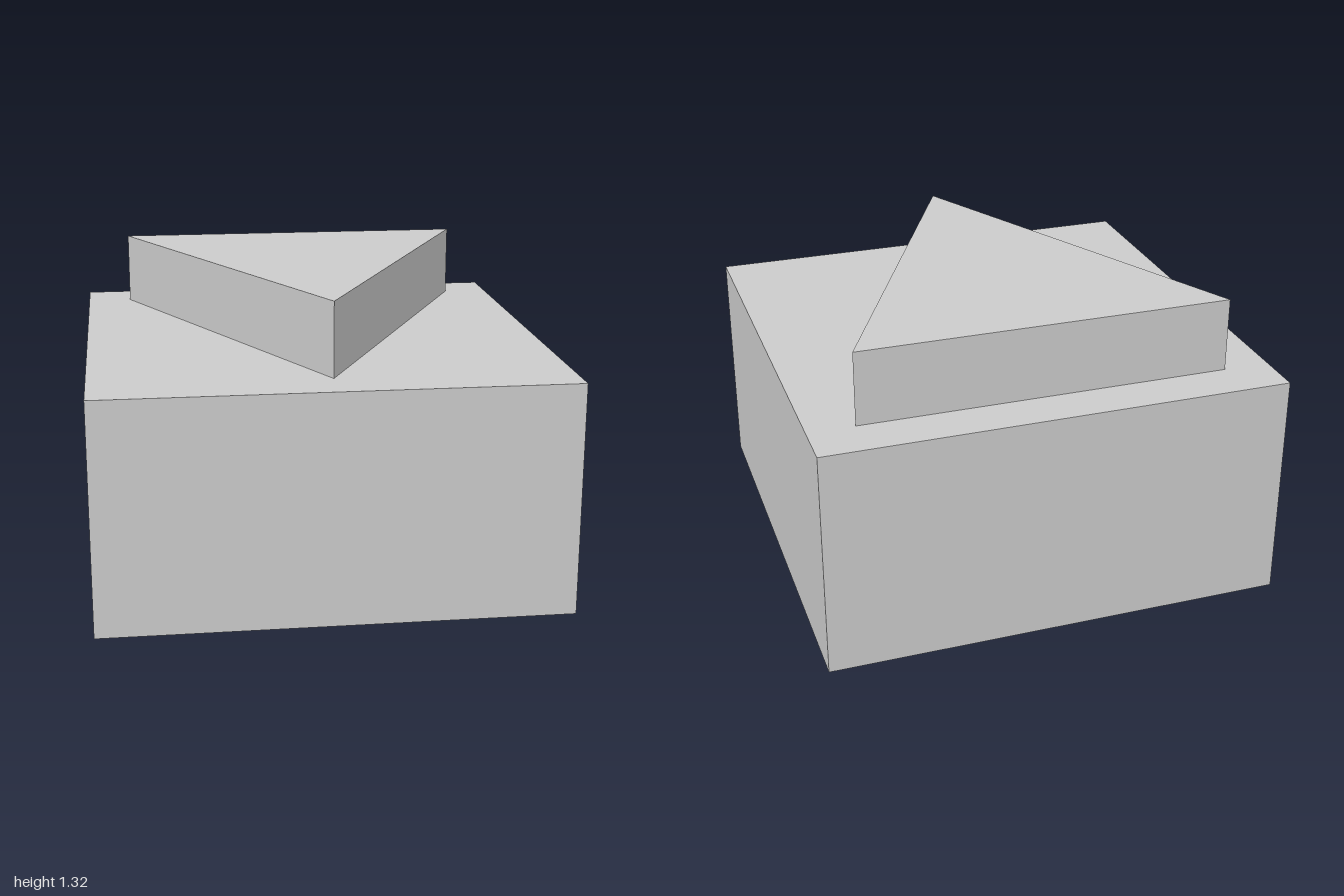
import * as THREE from 'three';

export function createModel() {
  const model = new THREE.Group();
  const material = new THREE.MeshStandardMaterial({
    color: 0xcccccc, flatShading: true, side: THREE.DoubleSide,
  });

  // Square base: a thin shell, open underneath
  const boxGeometry = new THREE.BoxGeometry(2, 1, 2);
  const indices = Array.from(boxGeometry.index.array);
  indices.splice(18, 6); // drop the bottom face
  boxGeometry.setIndex(indices);
  boxGeometry.clearGroups();
  const base = new THREE.Mesh(boxGeometry, material);
  base.name = 'base';
  base.position.y = 0.5;
  model.add(base);

  // Triangular slab on top, its tip pointing to the front
  const outline = new THREE.Shape([
    new THREE.Vector2(-0.8, 0.8),
    new THREE.Vector2(0, -0.8),
    new THREE.Vector2(0.8, 0.8),
  ]);
  const slabGeometry = new THREE.ExtrudeGeometry(outline, { depth: 0.32, bevelEnabled: false });
  slabGeometry.rotateX(-Math.PI / 2); // extrude upwards
  const slab = new THREE.Mesh(slabGeometry, material);
  slab.name = 'triangularSlab';
  slab.position.y = 1;
  model.add(slab);

  return model;
}
